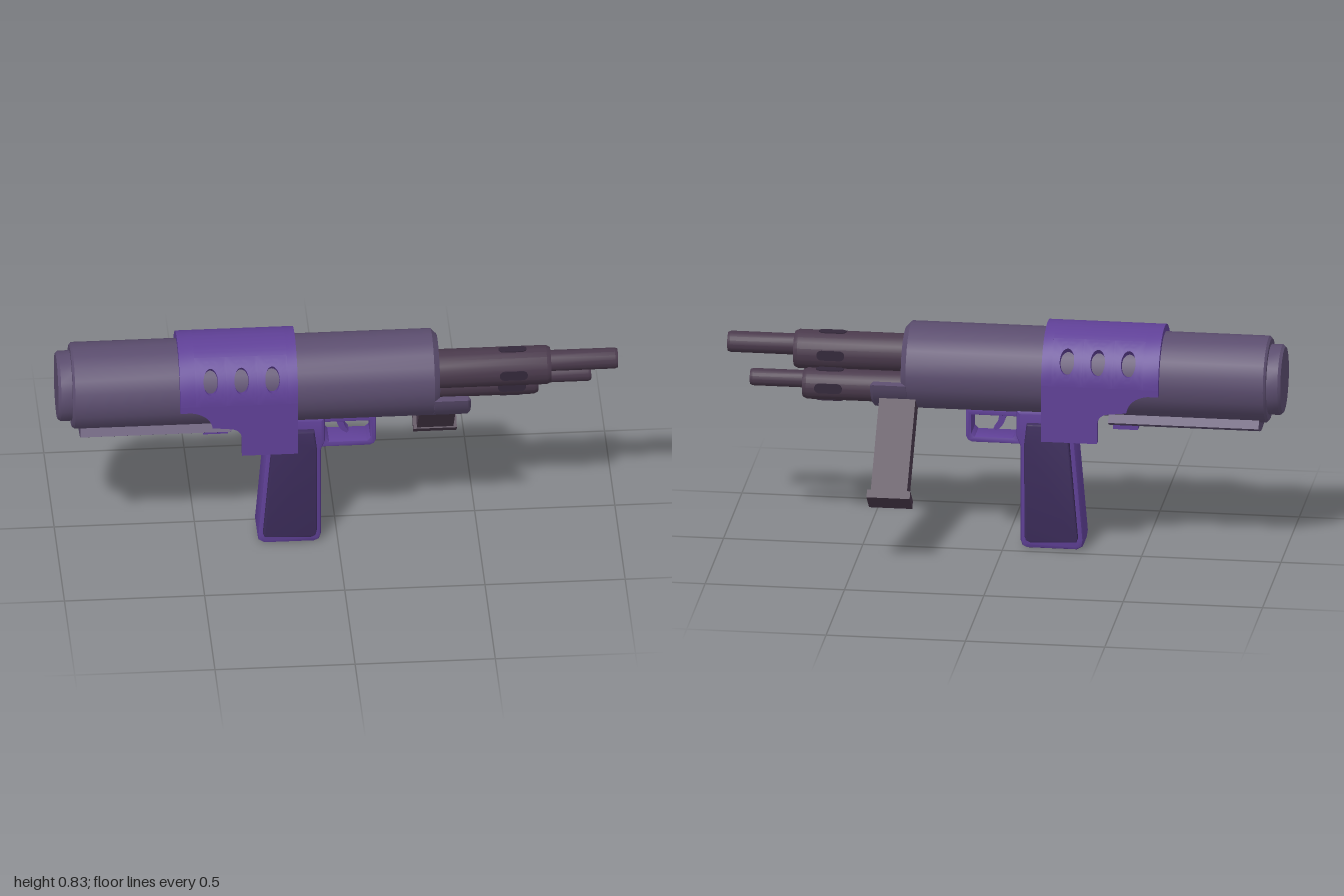
import * as THREE from 'three';
import { toCreasedNormals } from 'three/addons/utils/BufferGeometryUtils.js';

const CY = 0.655, CZ = 0.1; // main tube axis
const RAD = Math.PI / 180;

export function createModel() {
  const root = new THREE.Group();
  root.name = 'launcher';

  const mat = (name, color, side = THREE.FrontSide) => {
    const m = new THREE.MeshStandardMaterial({ color, side });
    m.name = name;
    return m;
  };
  const bodyMat = mat('greyPurple', 0x5b4d6e);
  const barrelMat = mat('darkMauve', 0x4a3a4c);
  const frameMat = mat('violet', 0x5f4096, THREE.DoubleSide);
  const panelMat = mat('deepViolet', 0x3d2d5c);
  const slotMat = mat('slotShadow', 0x33283a);

  const add = (name, geo, material, parent = root) => {
    const mesh = new THREE.Mesh(geo, material);
    mesh.name = name;
    parent.add(mesh);
    return mesh;
  };
  const crease = (g) => toCreasedNormals(g, 0.5);

  // Turned part along x; profile is [radius, x]
  const turned = (name, profile, y, z, material, sides = 20) => {
    const pts = profile.map(([r, x]) => new THREE.Vector2(r, x));
    const geo = new THREE.LatheGeometry(pts, sides).rotateZ(-Math.PI / 2);
    return add(name, crease(geo).translate(0, y, z), material);
  };

  // Slab with a side profile in xy, between two depths
  const slab = (shape, z0, z1, b = 0) => crease(new THREE.ExtrudeGeometry(shape, {
    depth: z1 - z0 - 2 * b, bevelEnabled: b > 0, bevelSize: b, bevelThickness: b,
    bevelOffset: -b, bevelSegments: 2, curveSegments: 8,
  }).translate(0, 0, z0 + b));
  const poly = (pts) => new THREE.Shape(pts.map(([x, y]) => new THREE.Vector2(x, y)));

  // Curved shell around the main axis, angles in degrees
  const arcShell = (r0, r1, a0, a1, x0, x1, b = 0) => {
    const s = new THREE.Shape();
    s.absarc(0, 0, r1, a0 * RAD, a1 * RAD, false);
    s.absarc(0, 0, r0, a1 * RAD, a0 * RAD, true);
    const geo = new THREE.ExtrudeGeometry(s, {
      depth: x1 - x0 - 2 * b, bevelEnabled: b > 0, bevelSize: b, bevelThickness: b,
      bevelOffset: -b, bevelSegments: 1, curveSegments: 14,
    });
    geo.translate(0, 0, x0 + b).rotateY(Math.PI / 2);
    return crease(geo).translate(0, CY, CZ);
  };

  // Main tube, rear cap, front cradle and underside rail
  turned('mainTube', [[0, -0.95], [0.147, -0.95], [0.155, -0.942], [0.155, 0.34],
    [0.135, 0.36], [0, 0.36]], CY, CZ, bodyMat);
  turned('rearCap', [[0, -1], [0.118, -1], [0.126, -0.99], [0.126, -0.94]], CY, CZ, bodyMat);
  add('frontCradle', arcShell(0.13, 0.155, 193, 347, 0.33, 0.47, 0.01), bodyMat);
  add('undersideRail', arcShell(0.15, 0.187, 236, 304, -0.92, -0.38), bodyMat);
  add('railLug', new THREE.BoxGeometry(0.09, 0.03, 0.1).translate(-0.435, 0.474, CZ), frameMat);

  // Two stepped barrels with side slots
  const stadium = (len, h) => {
    const s = new THREE.Shape(), r = h / 2, d = len / 2 - r;
    s.absarc(d, 0, r, -Math.PI / 2, Math.PI / 2, false);
    s.absarc(-d, 0, r, Math.PI / 2, Math.PI * 1.5, false);
    return s;
  };
  const barrel = (name, b) => {
    turned(name + 'Jacket', [[b.r, 0.3], [b.r, b.x - 0.015], [b.r - 0.007, b.x],
      [b.r - 0.016, b.x], [b.r - 0.018, b.x - 0.015], [0, b.x - 0.015]], b.y, b.z, barrelMat);
    turned(name + 'Muzzle', [[b.tr, b.x - 0.05], [b.tr, b.tip - 0.01], [b.tr - 0.004, b.tip],
      [b.tr - 0.011, b.tip], [b.tr - 0.011, b.tip - 0.04], [0, b.tip - 0.04]],
    b.ty, b.tz, barrelMat, 16);
    for (let i = 0; i < 4; i++) {
      const slot = slab(stadium(0.1, 0.036), b.r - 0.006, b.r + 0.001);
      slot.rotateX(i * Math.PI / 2).translate(0.625, b.y, b.z);
      add(name + 'Slot', slot, slotMat);
    }
  };
  barrel('upperBarrel', { r: 0.07, x: 0.76, y: 0.684, z: 0.13, tr: 0.038, tip: 1, ty: 0.7, tz: 0.13 });
  barrel('lowerBarrel', { r: 0.056, x: 0.72, y: 0.582, z: 0.054, tr: 0.031, tip: 0.91, ty: 0.597, tz: 0.054 });

  // Saddle shroud: curved bands, pierced sides and flat legs
  const shroud = new THREE.Group();
  shroud.name = 'shroud';
  root.add(shroud);
  const R0 = 0.155, R1 = 0.181;
  add('shroudRearBand', arcShell(R0, R1, 0, 180, -0.57, -0.515), frameMat, shroud);
  add('shroudFrontBand', arcShell(R0, R1, 0, 180, -0.185, -0.15), frameMat, shroud);
  add('shroudTop', arcShell(R0, R1, 58, 122, -0.515, -0.185), frameMat, shroud);

  // Curved cell with an oval hole, ringed from the hole wall out to the cell edge
  const piercedCell = (cx, side) => {
    const pos = [], idx = [], N = 32, rings = 6;
    for (let j = 0; j <= rings; j++) {
      const k = Math.max(0, (j - 1) / (rings - 1)), r = j === 0 ? R0 - 0.005 : R1;
      for (let i = 0; i <= N; i++) {
        const c = Math.cos(i / N * 2 * Math.PI), s = Math.sin(i / N * 2 * Math.PI);
        const m = Math.max(Math.abs(c), Math.abs(s));
        const x = cx + THREE.MathUtils.lerp(0.026 * c, 0.055 * c / m, k);
        const a = (29 + THREE.MathUtils.lerp(15.5 * s, 29 * s / m, k)) * RAD;
        pos.push(x, CY + r * Math.sin(a), CZ + side * r * Math.cos(a));
        if (j < rings && i < N) {
          const p = j * (N + 1) + i, q = p + N + 1;
          if (side > 0) idx.push(p, q, q + 1, p, q + 1, p + 1);
          else idx.push(p, q + 1, q, p, p + 1, q + 1);
        }
      }
    }
    const g = new THREE.BufferGeometry();
    g.setAttribute('position', new THREE.Float32BufferAttribute(pos, 3));
    g.setIndex(idx);
    g.computeVertexNormals();
    return crease(g);
  };
  const leg = new THREE.Shape();
  leg.moveTo(-0.57, CY);
  leg.lineTo(-0.57, 0.63);
  leg.lineTo(-0.53, 0.63);
  leg.quadraticCurveTo(-0.465, 0.62, -0.455, 0.565);
  leg.lineTo(-0.385, 0.557);
  leg.quadraticCurveTo(-0.35, 0.55, -0.35, 0.51);
  leg.lineTo(-0.35, 0.445);
  leg.lineTo(-0.15, 0.445);
  leg.lineTo(-0.15, CY);
  for (const side of [1, -1]) {
    for (const cx of [-0.46, -0.35, -0.24]) add('shroudPiercedSide', piercedCell(cx, side), frameMat, shroud);
    const z0 = side > 0 ? CZ + R0 - 0.002 : CZ - R1;
    add('shroudLeg', slab(leg, z0, z0 + R1 - R0 + 0.002), frameMat, shroud);
  }

  // Pistol grip with inset side panels
  const grip = poly([[-0.235, 0.52], [-0.25, 0.47], [-0.287, 0.04], [-0.283, 0.014], [-0.262, 0.002],
    [-0.085, 0.002], [-0.067, 0.01], [-0.06, 0.03], [-0.06, 0.38], [-0.045, 0.42], [-0.045, 0.52]]);
  add('gripFrame', slab(grip, 0.032, 0.168, 0.014), frameMat);
  const panel = poly([[-0.232, 0.475], [-0.268, 0.05], [-0.262, 0.034], [-0.1, 0.026],
    [-0.082, 0.034], [-0.076, 0.05], [-0.076, 0.4], [-0.085, 0.475]]);
  for (const side of [1, -1]) {
    const geo = slab(panel, -0.02, 0.02, 0.006);
    geo.translate(0, -0.25, 0).rotateX(side * 0.022).translate(0, 0.25, CZ + side * 0.063);
    add('gripPanel', geo, panelMat);
  }

  // Trigger guard and trigger
  const guard = poly([[-0.07, 0.51], [-0.07, 0.388], [0.115, 0.388], [0.13, 0.395], [0.137, 0.41], [0.137, 0.51]]);
  guard.holes.push(new THREE.Path([[-0.045, 0.49], [-0.045, 0.425], [-0.03, 0.408], [0.105, 0.408],
    [0.117, 0.42], [0.117, 0.49]].map(([x, y]) => new THREE.Vector2(x, y))));
  add('triggerGuard', slab(guard, 0.05, 0.15, 0.003), frameMat);
  const trigger = new THREE.Shape();
  trigger.moveTo(-0.005, 0.51);
  trigger.quadraticCurveTo(-0.005, 0.44, 0.035, 0.425);
  trigger.lineTo(0.042, 0.432);
  trigger.quadraticCurveTo(0.015, 0.46, 0.025, 0.51);
  add('trigger', slab(trigger, 0.08, 0.12), frameMat);

  // Slanted foregrip with end cap
  const foregrip = new THREE.Group();
  foregrip.name = 'foregrip';
  foregrip.position.set(0.373, 0.57, 0.035);
  foregrip.rotation.x = 0.708;
  root.add(foregrip);
  add('foregripShaft', new THREE.BoxGeometry(0.13, 0.4, 0.085).translate(0, -0.2, 0), barrelMat, foregrip);
  add('foregripCap', new THREE.BoxGeometry(0.155, 0.03, 0.095).translate(0, -0.412, 0), barrelMat, foregrip);

  return root;
}
